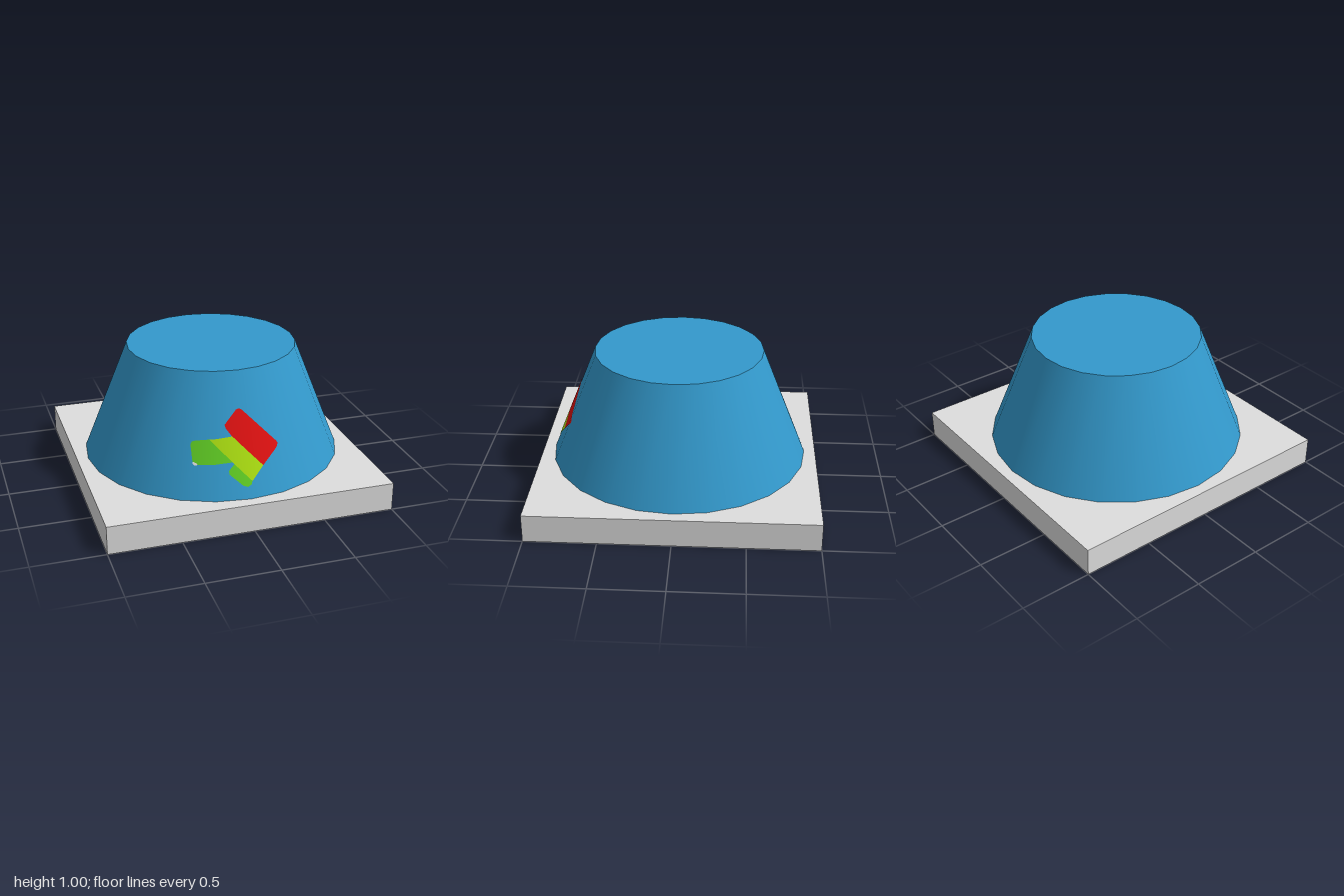
import * as THREE from 'three';

const SIDES = 24;
const STEP = (Math.PI * 2) / SIDES;
const SLOPE = 0.4;
const radiusAt = (y) => 1 - SLOPE * y;

function material(name, color) {
  const m = new THREE.MeshStandardMaterial({ color });
  m.name = name;
  return m;
}

// Keep the part of a polygon where side(point) >= 0; side is linear
function clip(points, side) {
  const out = [];
  points.forEach((a, i) => {
    const b = points[(i + 1) % points.length];
    const da = side(a), db = side(b);
    if (da >= 0) out.push(a);
    if (da * db < 0) out.push(a.clone().lerp(b, da / (da - db)));
  });
  return out;
}

// Lay a flat outline on the front facets of the cone as thin painted faces
function decal(name, mat, outline) {
  const group = new THREE.Group();
  group.name = name;
  const points = outline.map(([x, y]) => new THREE.Vector2(x, y));
  const edge = (k, p) => p.x - Math.sin(k * STEP) * radiusAt(p.y);
  for (let k = -2; k < 2; k++) {
    const part = clip(clip(points, (p) => edge(k, p)), (p) => -edge(k + 1, p));
    if (part.length < 3) continue;
    const geo = new THREE.ShapeGeometry(new THREE.Shape(part));
    const pos = geo.attributes.position, nor = geo.attributes.normal;
    const mid = (k + 0.5) * STEP;
    for (let i = 0; i < pos.count; i++) {
      const x = pos.getX(i), y = pos.getY(i);
      const z = (radiusAt(y) * Math.cos(STEP / 2) - x * Math.sin(mid)) / Math.cos(mid);
      const n = new THREE.Vector3(x, SLOPE * Math.hypot(x, z), z).normalize();
      pos.setXYZ(i, x, y, z + 0.004);
      nor.setXYZ(i, n.x, n.y, n.z);
    }
    const mesh = new THREE.Mesh(geo, mat);
    mesh.name = name + 'Facet';
    group.add(mesh);
  }
  return group;
}

export function createModel() {
  const grey = material('light grey', 0xdddddd);
  const blue = material('blue', 0x3399cc);
  const red = material('red', 0xdd1111);
  const lime = material('lime', 0xaadd11);
  const green = material('green', 0x60cc24);
  const white = material('white', 0xeeeeee);
  const model = new THREE.Group();
  model.name = 'pedestal';

  // Square slab
  const base = new THREE.Mesh(new THREE.BoxGeometry(2, 0.2, 2), grey);
  base.name = 'base';
  base.position.y = 0.1;
  model.add(base);

  // Truncated cone, sunk into the slab
  const cone = new THREE.Mesh(
    new THREE.CylinderGeometry(radiusAt(1), radiusAt(0.1), 0.9, SIDES), blue);
  cone.name = 'cone';
  cone.position.y = 0.55;
  model.add(cone);

  // Painted patches on the front of the cone
  model.add(
    decal('redPatch', red, [
      [-0.04, 0.76], [-0.022, 0.767], [0, 0.755], [0.225, 0.525], [0.235, 0.51],
      [0.225, 0.49], [0.11, 0.393], [-0.09, 0.603], [-0.12, 0.645], [-0.127, 0.67],
    ]),
    decal('limePatch', lime, [
      [-0.235, 0.583], [-0.09, 0.595], [-0.09, 0.603], [0.11, 0.393],
      [0.02, 0.31], [-0.09, 0.425],
    ]),
    decal('upperGreenPatch', green, [
      [-0.235, 0.583], [-0.09, 0.437], [-0.325, 0.423], [-0.33, 0.433], [-0.355, 0.443],
      [-0.355, 0.55], [-0.345, 0.567], [-0.325, 0.573],
    ]),
    decal('lowerGreenPatch', green, [
      [-0.09, 0.425], [0.02, 0.31], [0.01, 0.29], [-0.015, 0.278], [-0.045, 0.287],
      [-0.13, 0.363], [-0.13, 0.385],
    ]),
    decal('whiteFleck', white, [
      [-0.355, 0.443], [-0.33, 0.433], [-0.325, 0.423], [-0.345, 0.42], [-0.355, 0.43],
    ]),
  );
  return model;
}
